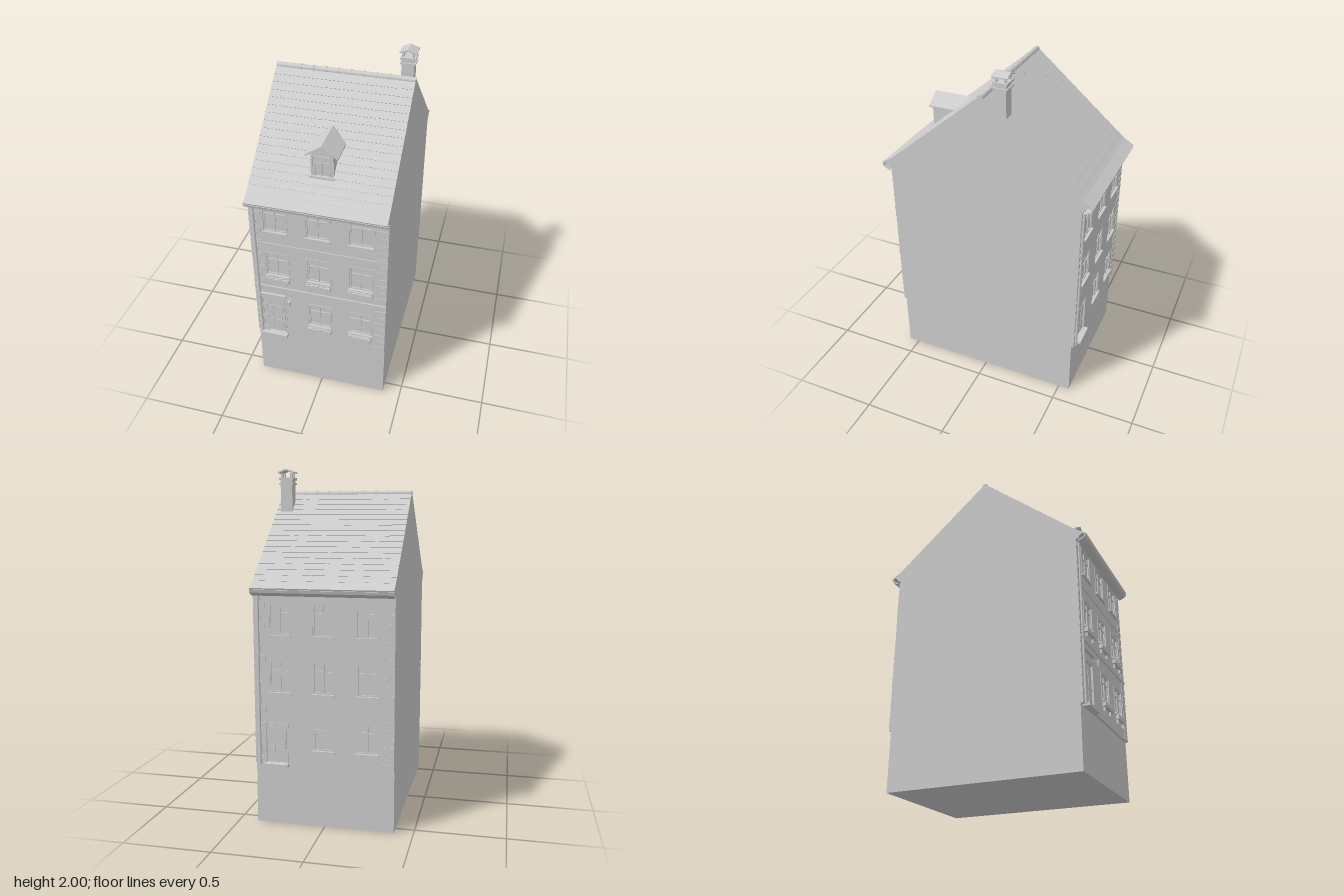
import * as THREE from 'three';
import { mergeGeometries } from 'three/addons/utils/BufferGeometryUtils.js';

const HALF_X = 0.393, WALL_Z = 0.565, FACE_Z = 0.577, RIDGE_Y = 1.858, SLOPE = 0.85;
const roofY = (z) => RIDGE_Y - SLOPE * Math.abs(z);

export function createModel() {
  const model = new THREE.Group();
  model.name = 'townHouse';
  const stone = new THREE.MeshStandardMaterial({ color: 0xcccccc });
  stone.name = 'plainGrey';

  const add = (parent, name, geometry) => {
    const mesh = new THREE.Mesh(geometry, stone);
    mesh.name = name;
    parent.add(mesh);
    return mesh;
  };
  const boxGeo = (w, h, d, x, y, z) => new THREE.BoxGeometry(w, h, d).translate(x, y, z);
  const box = (parent, name, ...dims) => add(parent, name, boxGeo(...dims));
  const group = (parent, name) => {
    const g = new THREE.Group();
    g.name = name;
    parent.add(g);
    return g;
  };
  const polygon = (points) => new THREE.Shape(points.map(([x, y]) => new THREE.Vector2(x, y)));
  // Profile given as [z, y], swept along x between x0 and x1
  const sweepX = (points, x0, x1) =>
    new THREE.ExtrudeGeometry(polygon(points), { depth: x1 - x0, bevelEnabled: false })
      .rotateY(-Math.PI / 2).translate(x1, 0, 0);
  // Profile given as [x, y], swept along z between z0 and z1
  const sweepZ = (points, z0, z1) =>
    new THREE.ExtrudeGeometry(polygon(points), { depth: z1 - z0, bevelEnabled: false }).translate(0, 0, z0);

  let seed = 7;
  const random = () => (seed = (seed * 16807) % 2147483647) / 2147483647;

  // Main body with gable ends
  add(model, 'body', sweepX([[-WALL_Z, 0], [WALL_Z, 0], [WALL_Z, roofY(WALL_Z)], [0, RIDGE_Y],
    [-WALL_Z, roofY(WALL_Z)]], -HALF_X, HALF_X));

  function addWindow(parent, x, y0, y1, isFront) {
    const g = group(parent, 'window');
    const w = isFront ? 0.13 : 0.115, h = y1 - y0, cy = (y0 + y1) / 2, z = FACE_Z - 0.006;
    const bars = [
      boxGeo(0.008, h, 0.006, x, cy, z),
      boxGeo(w, 0.007, 0.006, x, y1 - h * 0.3, z),
      boxGeo(w, 0.008, 0.006, x, y0 + 0.004, z),
      boxGeo(w, 0.008, 0.006, x, y1 - 0.004, z),
    ];
    for (const s of [-1, 1]) bars.push(boxGeo(0.008, h, 0.006, x + s * (w / 2 - 0.004), cy, z));
    add(g, 'windowFrame', mergeGeometries(bars));
    box(g, 'windowSill', w + 0.016, 0.012, 0.016, x, y0 - 0.006, FACE_Z + 0.004);
    if (isFront) {
      const trim = [boxGeo(w + 0.016, 0.008, 0.004, x, y1 + 0.004, FACE_Z + 0.001)];
      for (const s of [-1, 1]) trim.push(boxGeo(0.008, h, 0.004, x + s * (w / 2 + 0.004), cy, FACE_Z + 0.001));
      add(g, 'windowSurround', mergeGeometries(trim));
    }
  }

  function addFlowerBox(parent, x, y) {
    const g = group(parent, 'flowerBox');
    box(g, 'planter', 0.14, 0.024, 0.02, x, y, FACE_Z + 0.012);
    for (const s of [-1, 1]) box(g, 'planterBracket', 0.006, 0.03, 0.012, x + s * 0.05, y - 0.02, FACE_Z + 0.006);
    const blooms = [];
    for (let i = 0; i < 12; i++) {
      blooms.push(new THREE.IcosahedronGeometry(0.006 + random() * 0.004, 0)
        .translate(x - 0.06 + i * 0.011, y + 0.012 + random() * 0.01, FACE_Z + 0.008 + random() * 0.008));
    }
    add(g, 'flowers', mergeGeometries(blooms));
  }

  // One street side, built facing +z
  function addFacade(isFront) {
    const g = group(model, isFront ? 'frontFacade' : 'backFacade');
    const columns = [-0.245, 0, 0.245];
    const rows = isFront ? [[0.475, 0.63], [0.82, 0.975], [1.135, 1.3]] : [[0.445, 0.61], [0.765, 0.94], [1.085, 1.26]];
    const door = isFront ? { x: -0.285, w: 0.14, y1: 0.61 } : { x: -0.27, w: 0.12, y1: 0.59 };
    const rect = (x0, x1, y0, y1) => [[x0, y0], [x1, y0], [x1, y1], [x0, y1]];
    const wall = polygon(rect(-HALF_X, HALF_X, 0.35, 1.34));
    const winW = isFront ? 0.13 : 0.115;
    const openings = [];
    rows.forEach(([y0, y1], r) => columns.forEach((x, c) => {
      if (r || c) openings.push([x, y0, y1, r]);
    }));
    for (const [x, y0, y1] of openings) wall.holes.push(polygon(rect(x - winW / 2, x + winW / 2, y0, y1)));
    wall.holes.push(polygon(rect(door.x - door.w / 2, door.x + door.w / 2, 0.36, door.y1)));
    add(g, 'wallFace', new THREE.ExtrudeGeometry(wall, { depth: FACE_Z - WALL_Z + 0.002, bevelEnabled: false })
      .translate(0, 0, WALL_Z - 0.002));
    for (const [x, y0, y1, r] of openings) {
      addWindow(g, x, y0, y1, isFront);
      if (isFront && r < 2) addFlowerBox(g, x, y0 - 0.03);
    }

    // Door with panels, step and hood
    const d = group(g, 'door');
    const dh = door.y1 - 0.36;
    box(d, 'doorLeaf', door.w - 0.014, dh - 0.007, 0.005, door.x, 0.36 + dh / 2, FACE_Z - 0.008);
    for (const s of [-1, 1]) for (const [h, y] of [[0.07, 0.42], [0.1, 0.52]])
      box(d, 'doorPanel', 0.04, h, 0.004, door.x + s * 0.028, y, FACE_Z - 0.005);
    add(d, 'doorKnob', new THREE.SphereGeometry(0.005, 8, 6).translate(door.x + 0.045, 0.47, FACE_Z));
    box(d, 'doorStep', door.w + 0.02, 0.018, 0.038, door.x, 0.35, FACE_Z + 0.01);
    for (const s of [-1, 1]) box(d, 'doorJamb', 0.01, dh, 0.006, door.x + s * (door.w / 2 + 0.004), 0.36 + dh / 2, FACE_Z);
    if (isFront) {
      box(d, 'doorHood', 0.16, 0.01, 0.018, door.x, 0.665, FACE_Z + 0.006);
      box(d, 'doorTransom', 0.14, 0.03, 0.005, door.x, 0.635, FACE_Z);
      // Wall lamp beside the door
      const lamp = group(g, 'wallLamp');
      box(lamp, 'lampArm', 0.005, 0.005, 0.028, -0.175, 0.655, FACE_Z + 0.012);
      add(lamp, 'lantern', new THREE.CylinderGeometry(0.01, 0.006, 0.032, 6).translate(-0.175, 0.637, FACE_Z + 0.025));
      add(lamp, 'lanternCap', new THREE.ConeGeometry(0.012, 0.01, 6).translate(-0.175, 0.658, FACE_Z + 0.025));
      // String courses
      box(g, 'lowerStringCourse', 2 * HALF_X, 0.014, 0.012, 0, 0.722, FACE_Z + 0.002);
      box(g, 'upperStringCourse', 2 * HALF_X, 0.008, 0.008, 0, 1.046, FACE_Z + 0.001);
    }

    // Alternating corner stones
    const quoins = [];
    for (let i = 0; i < 20; i++) {
      const w = i % 2 ? 0.04 : 0.065;
      for (const s of [-1, 1])
        quoins.push(boxGeo(w, 0.038, 0.004, s * (HALF_X - w / 2), 0.375 + i * 0.048, FACE_Z + 0.001));
    }
    add(g, 'cornerStones', mergeGeometries(quoins));

    // Downpipe and clips
    add(g, 'downpipe', new THREE.CylinderGeometry(0.007, 0.007, 0.97, 10).translate(-0.365, 0.835, FACE_Z + 0.008));
    for (const y of [0.45, 0.75, 1.05, 1.25])
      add(g, 'pipeClip', new THREE.CylinderGeometry(0.009, 0.009, 0.008, 10).translate(-0.365, y, FACE_Z + 0.008));

    // Eaves moulding, gutter and brackets
    add(g, 'eavesMoulding', sweepX([[WALL_Z, 1.315], [0.59, 1.315], [0.6, 1.335], [0.615, 1.345], [WALL_Z, 1.38]],
      -HALF_X, HALF_X));
    add(g, 'gutter', sweepX([[0.637, 1.336], [0.632, 1.32], [0.618, 1.31], [0.592, 1.3], [0.586, 1.304], [0.612, 1.317],
      [0.626, 1.326], [0.63, 1.338]], -HALF_X, HALF_X));
    for (let i = 0; i < 6; i++) box(g, 'gutterBracket', 0.008, 0.016, 0.03, -0.34 + i * 0.136, 1.32, 0.597);

    // Roof slope with a flatter kick at the eaves
    const t = 0.008;
    add(g, 'roofSlope', sweepX([[0, RIDGE_Y - 0.005], [0.57, roofY(0.57) - 0.005], [0.633, 1.336], [0.637, 1.345],
      [0.575, roofY(0.57) + t], [0, RIDGE_Y + t]], -HALF_X, HALF_X));
    const tiles = [];
    const ROWS = 17, COLS = 10, step = 0.595 / ROWS, tileW = 2 * HALF_X / COLS;
    for (let r = 0; r < ROWS; r++) for (let c = 0; c < COLS; c++) {
      const z = 0.015 + (r + 0.5) * step, len = step * 1.31 + 0.002 + random() * 0.005;
      tiles.push(new THREE.BoxGeometry(tileW, 0.005, len).rotateX(Math.atan(SLOPE) - 0.06)
        .translate(-HALF_X + (c + 0.5) * tileW, roofY(z) + t + 0.001, z));
    }
    add(g, 'roofTiles', mergeGeometries(tiles));
    if (!isFront) g.rotation.y = Math.PI;
  }
  addFacade(true);
  addFacade(false);

  // Ridge cap with overlapping joints
  const ridge = group(model, 'ridgeCap');
  const half = (r, len, x) => new THREE.CylinderGeometry(r, r, len, 10).rotateZ(Math.PI / 2).translate(x, RIDGE_Y, 0);
  add(ridge, 'ridgeTiles', half(0.017, 2 * HALF_X, 0));
  for (let i = 0; i < 8; i++) add(ridge, 'ridgeJoint', half(0.02, 0.007, -0.25 + i * 0.0715));

  // Dormer on the front slope
  const dormer = group(model, 'dormer');
  add(dormer, 'dormerWalls', sweepZ([[-0.063, 1.45], [0.063, 1.45], [0.063, 1.605], [0, 1.645], [-0.063, 1.605]], 0.3, 0.465));
  for (const s of [-1, 1]) {
    const pts = [[0, 1.648], [s * 0.09, 1.592], [s * 0.09, 1.602], [0, 1.662]];
    add(dormer, 'dormerRoof', sweepZ(s > 0 ? pts : pts.reverse(), 0.24, 0.48));
    box(dormer, 'dormerPost', 0.012, 0.13, 0.008, s * 0.056, 1.53, 0.467);
    box(dormer, 'dormerFrameSide', 0.008, 0.115, 0.006, s * 0.042, 1.53, 0.467);
  }
  box(dormer, 'dormerMullion', 0.007, 0.115, 0.006, 0, 1.53, 0.467);
  box(dormer, 'dormerFrameTop', 0.09, 0.008, 0.006, 0, 1.59, 0.467);
  box(dormer, 'dormerCrossbar', 0.085, 0.006, 0.005, 0, 1.555, 0.467);
  box(dormer, 'dormerSill', 0.14, 0.012, 0.02, 0, 1.468, 0.47);

  // Chimney with bands and a small gabled cover
  const chimney = group(model, 'chimney');
  const CX = 0.332, CZ = -0.103;
  box(chimney, 'chimneyShaft', 0.07, 0.24, 0.066, CX, 1.82, CZ);
  box(chimney, 'lowerBand', 0.086, 0.01, 0.082, CX, 1.915, CZ);
  box(chimney, 'upperBand', 0.086, 0.012, 0.082, CX, 1.944, CZ);
  box(chimney, 'chimneyNeck', 0.066, 0.03, 0.062, CX, 1.93, CZ);
  for (const sx of [-1, 1]) for (const sz of [-1, 1])
    box(chimney, 'coverPost', 0.012, 0.03, 0.012, CX + sx * 0.028, 1.963, CZ + sz * 0.026);
  add(chimney, 'chimneyCover', sweepZ([[CX - 0.047, 1.974], [CX, 1.991], [CX + 0.047, 1.974], [CX + 0.047, 1.982],
    [CX, 2.0], [CX - 0.047, 1.982]], CZ - 0.045, CZ + 0.045));

  return model;
}
